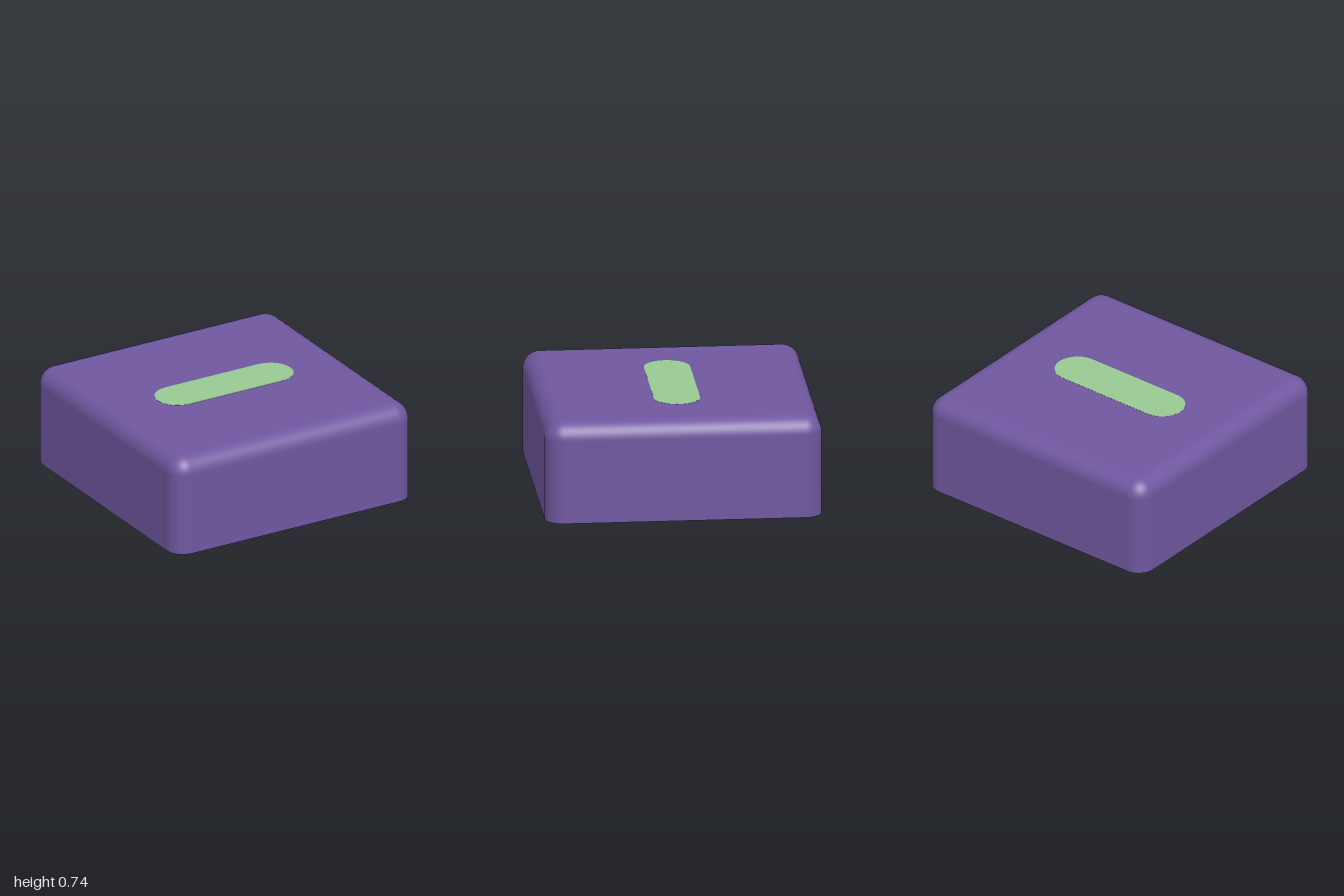
import * as THREE from 'three';

const HEIGHT = 0.744, CEILING = 0.611, ROUND = 0.13;
const INNER = 0.867, INNER_ROUND = 0.056;
const STEM_R = 0.306, STEM_BOTTOM = 0.11, SLOT_TOP = 0.55;

// Rounded rectangle outline centred on the origin
function roundedRect(hx, hy, r, Type = THREE.Shape) {
  const s = new Type();
  s.absarc(hx - r, hy - r, r, 0, Math.PI / 2);
  s.absarc(r - hx, hy - r, r, Math.PI / 2, Math.PI);
  s.absarc(r - hx, r - hy, r, Math.PI, Math.PI * 1.5);
  s.absarc(hx - r, r - hy, r, Math.PI * 1.5, Math.PI * 2);
  s.closePath();
  return s;
}

// Horizontal face at height y, facing up (dir 1) or down (dir -1)
function flatFace(shape, y, dir) {
  return new THREE.ShapeGeometry(shape, 12).rotateX(-dir * Math.PI / 2).translate(0, y, 0);
}

// Wall through rounded-square loops; rows hold core half size, radius, height
// and the tilt of the normal. side -1 makes it face inward.
function squareWall(rows, side) {
  const SEG = 10, N = 4 * (SEG + 1);
  const pos = [], nor = [], idx = [];
  rows.forEach(({ core, r, y, tilt }, i) => {
    for (let j = 0; j < N; j++) {
      const corner = Math.floor(j / (SEG + 1)), step = j % (SEG + 1);
      const a = (corner + step / SEG) * Math.PI / 2;
      const mid = (corner + 0.5) * Math.PI / 2;
      const c = Math.cos(a), s = Math.sin(a);
      pos.push(Math.sign(Math.cos(mid)) * core + r * c, y, Math.sign(Math.sin(mid)) * core + r * s);
      nor.push(side * c * Math.cos(tilt), side * Math.sin(tilt), side * s * Math.cos(tilt));
      if (i === rows.length - 1) continue;
      const p = i * N + j, q = i * N + (j + 1) % N, u = p + N, v = q + N;
      if (side > 0) idx.push(p, u, q, q, u, v);
      else idx.push(p, q, u, q, v, u);
    }
  });
  const g = new THREE.BufferGeometry();
  g.setAttribute('position', new THREE.Float32BufferAttribute(pos, 3));
  g.setAttribute('normal', new THREE.Float32BufferAttribute(nor, 3));
  g.setIndex(idx);
  return g;
}

// Plus-shaped slot outline
function crossPath(long, half) {
  const p = [[long, -half], [long, half], [half, half], [half, long], [-half, long], [-half, half],
    [-long, half], [-long, -half], [-half, -half], [-half, -long], [half, -long], [half, -half]];
  return p.map(([x, y]) => new THREE.Vector2(x, y));
}

export function createModel() {
  const purple = new THREE.MeshStandardMaterial({ color: 0x6f579f });
  purple.name = 'purple';
  const green = new THREE.MeshStandardMaterial({ color: 0x98ca92 });
  green.name = 'green';

  const model = new THREE.Group();
  model.name = 'keycap';
  const add = (name, geometry, material = purple) => {
    const mesh = new THREE.Mesh(geometry, material);
    mesh.name = name;
    model.add(mesh);
  };

  // Outer shell: straight sides with a rounded top edge
  const top = HEIGHT - 0.001, core = 1 - ROUND;
  const rows = [{ core, r: ROUND, y: 0, tilt: 0 }];
  for (let i = 0; i <= 10; i++) {
    const t = i / 10 * Math.PI / 2;
    rows.push({ core, r: ROUND * Math.cos(t), y: top - ROUND + ROUND * Math.sin(t), tilt: t });
  }
  add('outerShell', squareWall(rows, 1));
  add('topFace', new THREE.PlaneGeometry(2 * core, 2 * core).rotateX(-Math.PI / 2).translate(0, top, 0));

  // Hollow underside: rim, inner walls and ceiling
  const rim = roundedRect(1, 1, ROUND);
  rim.holes.push(roundedRect(INNER, INNER, INNER_ROUND, THREE.Path));
  add('bottomRim', flatFace(rim, 0, -1));
  const inner = { core: INNER - INNER_ROUND, r: INNER_ROUND, tilt: 0 };
  add('innerWall', squareWall([{ ...inner, y: 0 }, { ...inner, y: CEILING }], -1));
  add('innerCeiling', flatFace(roundedRect(INNER, INNER, INNER_ROUND), CEILING, -1));

  // Stem, flaring where it meets the ceiling
  const flare = 0.08;
  const profile = [new THREE.Vector2(STEM_R, STEM_BOTTOM), new THREE.Vector2(STEM_R, CEILING - flare - 0.01)];
  for (let i = 0; i <= 6; i++) {
    const t = i / 6 * Math.PI / 2;
    profile.push(new THREE.Vector2(STEM_R + flare * (1 - Math.cos(t)), CEILING - flare * (1 - Math.sin(t))));
  }
  add('stem', new THREE.LatheGeometry(profile, 64));

  // Stem core with the plus-shaped socket
  const disc = new THREE.Shape().absarc(0, 0, STEM_R - 0.001, 0, Math.PI * 2);
  disc.holes.push(new THREE.Path(crossPath(0.228, 0.072)));
  const socket = new THREE.ExtrudeGeometry(disc, { depth: SLOT_TOP - STEM_BOTTOM, bevelEnabled: false, curveSegments: 32 });
  add('stemSocket', socket.rotateX(-Math.PI / 2).translate(0, STEM_BOTTOM, 0));
  add('socketEnd', flatFace(new THREE.Shape(crossPath(0.228, 0.072)), SLOT_TOP, -1));

  // Pill-shaped inlay on the top
  const pill = new THREE.ExtrudeGeometry(roundedRect(0.556, 0.167, 0.167), { depth: 0.004, bevelEnabled: false, curveSegments: 16 });
  add('topInlay', pill.rotateX(-Math.PI / 2).translate(0, HEIGHT - 0.004, 0), green);

  return model;
}
